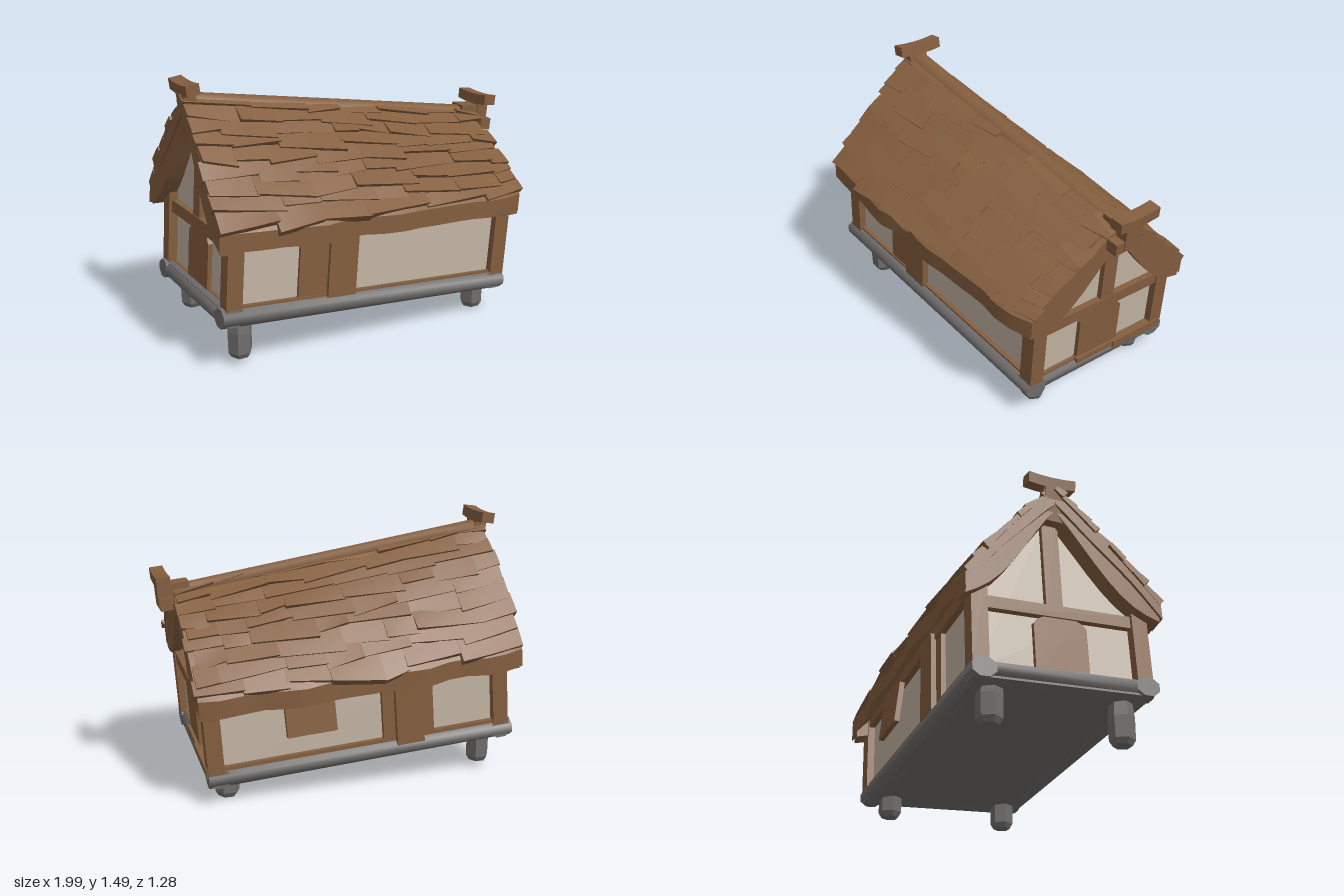
import * as THREE from 'three';

const mat = (name, color) => Object.assign(new THREE.MeshStandardMaterial({ color }), { name });

export function createModel() {
  const house = new THREE.Group();
  house.name = 'cottage';
  const wood = mat('brown wood', 0x845e3e);
  const plaster = mat('cream plaster', 0xc3b5a5);
  const stone = mat('grey stone', 0x716f6d);

  let seed = 7;
  const rnd = () => (seed = (seed * 16807) % 2147483647) / 2147483647;
  const jit = a => (rnd() - 0.5) * 2 * a;

  // Move every vertex of a geometry by a rule
  function warp(geo, rule) {
    const p = geo.attributes.position, v = new THREE.Vector3();
    for (let i = 0; i < p.count; i++) {
      rule(v.fromBufferAttribute(p, i));
      p.setXYZ(i, v.x, v.y, v.z);
    }
    geo.computeVertexNormals();
    return geo;
  }
  // The whole crooked house slopes down to the right and to the back
  const lean = v => {
    const { x, y, z } = v;
    v.set(x + 0.07 * (y - 0.3), y - 0.072 * x + 0.06 * z, z);
  };
  function add(name, geo, material, crooked = true, parent = house) {
    const m = new THREE.Mesh(crooked ? warp(geo, lean) : geo, material);
    m.name = name;
    parent.add(m);
    return m;
  }
  function box(name, material, x0, x1, y0, y1, z0, z1, parent) {
    const g = new THREE.BoxGeometry(x1 - x0, y1 - y0, z1 - z0);
    g.translate((x0 + x1) / 2, (y0 + y1) / 2, (z0 + z1) / 2);
    return add(name, g, material, true, parent);
  }

  // Stone floor with a heavier rim
  box('floorSlab', stone, -0.95, 0.78, 0.183, 0.27, -0.48, 0.48);
  const rimBar = len => new THREE.CylinderGeometry(0.5, 0.5, len, 8, 1, false, Math.PI / 8).rotateX(Math.PI / 2);
  for (const [z, n] of [[0.455, 'frontRim'], [-0.445, 'backRim']])
    add(n, rimBar(1.77).rotateY(Math.PI / 2).scale(1, 0.112, 0.14).translate(-0.085, 0.228, z), stone);
  for (const [x, n] of [[-0.905, 'leftRim'], [0.735, 'rightRim']])
    add(n, rimBar(1).scale(0.14, 0.106, 1).translate(x, 0.23, 0), stone);

  // Stubby feet, chamfered below
  for (const [x, y, z] of [[-0.83, 0.04, 0.37], [0.67, 0.015, 0.37], [-0.83, 0.04, -0.36], [0.67, 0, -0.36]]) {
    const pts = [[0, 0], [0.05, 0], [0.068, 0.03], [0.07, 0.15], [0.06, 0.24], [0, 0.24]].map(p => new THREE.Vector2(...p));
    const g = new THREE.LatheGeometry(pts, 6, Math.PI / 6).toNonIndexed();
    g.computeVertexNormals();
    add('foot', g.translate(x, y, z), stone, false);
  }

  // Plaster walls with both gables as one extruded pentagon
  const gable = new THREE.Shape([[-0.458, 0.26], [0.458, 0.26], [0.458, 0.74], [0.03, 1.13], [-0.458, 0.72]].map(p => new THREE.Vector2(...p)));
  const walls = new THREE.ExtrudeGeometry(gable, { depth: 1.655, bevelEnabled: false });
  walls.rotateY(-Math.PI / 2).translate(0.758, 0, 0);
  warp(walls, v => {
    if (v.y > 0.9) v.set(v.x, v.y - 0.085 * v.x, -0.03);
  });
  add('walls', walls, plaster);

  // Corner posts, sills and wall plates
  for (const s of [-1, 1]) {
    for (const [x0, x1] of [[-0.95, -0.86], [0.71, 0.8]])
      box('cornerPost', wood, x0, x1, 0.26, 0.76, s * 0.455 - 0.045, s * 0.455 + 0.045);
    box('sill', wood, -0.9, 0.76, 0.26, 0.29, s * 0.465 - 0.02, s * 0.465 + 0.02);
    box('wallPlate', wood, -0.9, 0.76, 0.665, 0.745, s * 0.465 - 0.03, s * 0.465 + 0.03);
  }

  // Door leaf with a rounded top, facing +z before it is placed
  function doorLeaf(w, h) {
    const s = new THREE.Shape();
    s.moveTo(-w / 2, 0);
    s.lineTo(w / 2, 0);
    s.lineTo(w / 2, h * 0.84);
    s.bezierCurveTo(w * 0.42, h, w * 0.1, h, 0, h);
    s.bezierCurveTo(-w * 0.1, h, -w * 0.42, h, -w / 2, h * 0.84);
    return new THREE.ExtrudeGeometry(s, { depth: 0.025, bevelEnabled: false, curveSegments: 5 });
  }

  // Timber framing of both gable ends
  for (const [x, d] of [[0.758, 1], [-0.897, -1]]) {
    const end = new THREE.Group();
    end.name = d > 0 ? 'rightGable' : 'leftGable';
    house.add(end);
    const span = t => [Math.min(x, x + d * t), Math.max(x, x + d * t)];
    box('crossBeam', wood, ...span(0.035), 0.585, 0.655, -0.45, 0.45, end);
    box('kingPost', wood, ...span(0.03), 0.64, 1.13 - 0.085 * x, -0.075, 0.02, end);
    box('endSill', wood, ...span(0.02), 0.26, 0.283, -0.43, 0.43, end);
    add('endDoor', doorLeaf(0.3, 0.335).rotateY(d * Math.PI / 2).translate(x, 0.26, 0), wood, true, end);
  }
  // Worn timber strips over the right rim, below the door
  box('threshold', wood, 0.76, 0.808, 0.24, 0.288, -0.48, -0.11);
  box('doorStep', wood, 0.75, 0.8, 0.255, 0.287, -0.12, 0.16);

  // Front door with its wide post, back door post and hanging shutter
  add('frontDoor', doorLeaf(0.2, 0.38).translate(-0.43, 0.27, 0.452), wood);
  box('frontPost', wood, -0.36, -0.19, 0.27, 0.73, 0.45, 0.498);
  box('backPost', wood, -0.5, -0.2, 0.27, 0.72, -0.485, -0.45);
  box('backDoor', wood, -0.43, -0.27, 0.25, 0.7, -0.515, -0.48);
  const shutter = new THREE.BoxGeometry(0.28, 0.25, 0.03).rotateX(0.12).translate(0.22, 0.54, -0.512);
  add('shutter', shutter, wood);

  // Point on a roof slope: s runs from ridge to eave, h is height off the surface
  const ridge = x => 1.255 - 0.085 * x;
  function onRoof(v, x, s, h, side) {
    const front = side > 0;
    const w = (front ? 0.635 : 0.58) - 0.045 * Math.pow(Math.abs(x + 0.08) / 0.94, 4);
    const f = 1 - s + (front ? 0.14 : 0.3) * s * (1 - s);
    const eave = front ? 0.75 + 0.03 * x : 0.72;
    v.set(x, eave + (ridge(x) - eave) * f + h * 0.74, -0.03 + side * (w * s + h * 0.66));
  }
  const roof = new THREE.Group();
  roof.name = 'roof';
  house.add(roof);
  const X0 = -1.02, X1 = 0.825, XC = (X0 + X1) / 2, L = X1 - X0;

  for (const side of [1, -1]) {
    // Thick slope with an upright eave edge
    const shell = new THREE.BoxGeometry(L, 1, 1, 16, 1, 10);
    add('roofSlope', warp(shell, v => {
      const x = XC + side * v.x, s = v.z + 0.5, drop = v.y > 0 ? 0 : 0.1;
      const wave = 0.008 * Math.sin(x * 17 + s * 9) + 0.012 * s * Math.sin(x * 11 + side);
      onRoof(v, x, s + wave, -0.01 + wave * 0.6, side);
      v.y -= drop;
    }), wood, true, roof);

    // Ragged overlapping shingles, course by course
    const rows = 9;
    for (let r = 0; r < rows; r++) {
      for (let x = X0 + jit(0.015); x < X1 - 0.05;) {
        const w = Math.min(0.14 + rnd() * 0.26, X1 + jit(0.015) - x);
        const s0 = Math.max(0.01, (r - 0.25) / rows), s1 = (r + 1) / rows + jit(0.03);
        const lift = 0.004 + rnd() * 0.018, skew = jit(0.05), twist = jit(0.008), cx = x + w / 2;
        const g = new THREE.BoxGeometry(1, 1, 1, 2, 1, 2);
        add('shingle', warp(g, v => {
          const t = v.z + 0.5, u = side * v.x;
          const s = s0 + (s1 - s0) * t + skew * u * t;
          const h = v.y > 0 ? 0.002 + lift * t + twist * u * 2 * t : -0.025;
          onRoof(v, cx + u * w * 1.04, s, h, side);
        }), wood, true, roof);
        x += w;
      }
    }

    // Heavy barge boards under both roof ends
    for (const bx of [0.77, -0.955]) {
      const g = new THREE.BoxGeometry(0.1, 1, 1, 1, 1, 8);
      add('bargeBoard', warp(g, v => {
        const s = v.z + 0.5;
        const depth = v.y > 0 ? 0.03 : 0.14 + 0.12 * Math.sin(Math.PI * Math.pow(s, 1.3));
        onRoof(v, bx + side * v.x, s * 0.97, 0, side);
        v.y -= depth;
      }), wood, true, roof);
    }
  }

  // Ridge log
  const log = new THREE.CylinderGeometry(0.055, 0.055, 1.85, 8, 6).rotateZ(Math.PI / 2).translate(XC, 0, -0.04);
  add('ridgeLog', warp(log, v => { v.y = v.y * 0.7 + ridge(v.x) - 0.028; }), wood, true, roof);

  // Ridge end finials: a neck with a crossbar, already in leaning position
  function finial(name, x, y, neckHeight, tilt) {
    const f = new THREE.Group();
    f.name = name;
    f.position.set(x, y, -0.04);
    f.rotation.z = tilt;
    house.add(f);
    const bar = new THREE.BoxGeometry(0.075, 0.06, 0.275, 1, 1, 4);
    warp(bar, v => { v.y += 0.5 * v.z * v.z + 0.03 * v.z; });
    add('crossbar', bar.translate(0, -0.035, -0.01), wood, false, f);
    add('neck', new THREE.BoxGeometry(0.07, neckHeight, 0.12).translate(-0.005, -0.06 - neckHeight / 2, 0.01), wood, false, f);
    return f;
  }
  finial('leftFinial', -0.93, 1.472, 0.2, 0.13);
  const right = finial('rightFinial', 0.955, 1.205, 0.13, -0.1);
  add('footBlock', new THREE.BoxGeometry(0.07, 0.07, 0.19).translate(-0.01, -0.17, 0.03), wood, false, right);
  add('tenon', new THREE.BoxGeometry(0.16, 0.11, 0.11).translate(-0.07, -0.12, 0.01), wood, false, right);

  return house;
}
